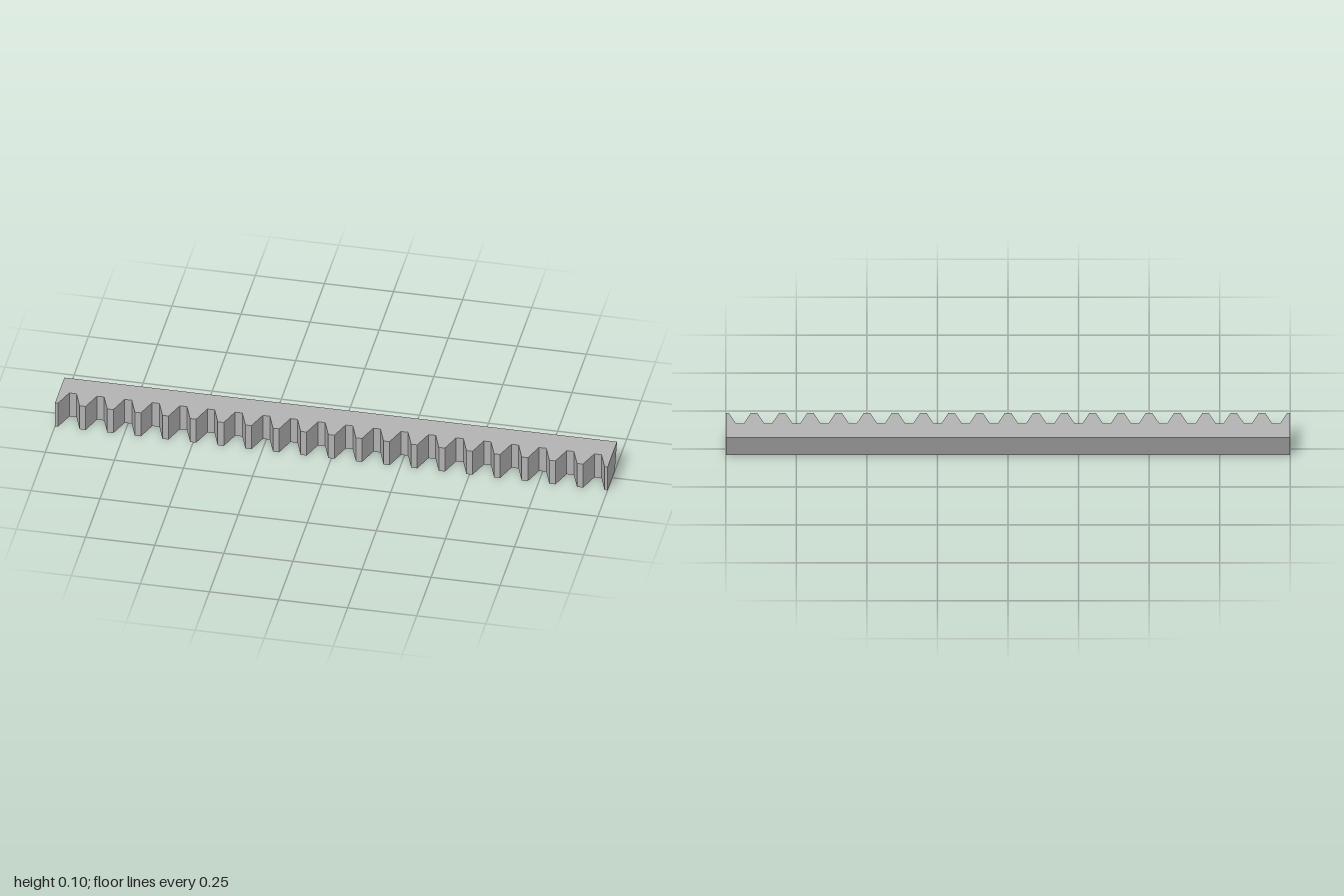
import * as THREE from 'three';

const PITCH = 0.1, TEETH = 20, HEIGHT = 0.1;
const TIP = 0.022, FLANK = 0.026;           // tip width, flank run along x
const FRONT = 0.082, ROOT = 0.01;           // z of tooth tips and tooth roots
const BACK_TOP = -0.082, BACK_BOTTOM = -0.041; // slanted back face

export function createModel() {
  const group = new THREE.Group();
  group.name = 'gearRack';
  const grey = new THREE.MeshStandardMaterial({ color: 0xb2b2b2 });
  grey.name = 'steel grey';

  // Outline from above (shape y = -z): straight back, trapezoid teeth in front,
  // with half a tooth at each end
  const shape = new THREE.Shape();
  shape.moveTo(1, -BACK_TOP);
  shape.lineTo(-1, -BACK_TOP);
  shape.lineTo(-1, -FRONT);
  for (let i = 0; i < TEETH; i++) {
    const a = -1 + i * PITCH + TIP / 2, b = -1 + (i + 1) * PITCH - TIP / 2;
    shape.lineTo(a, -FRONT);
    shape.lineTo(a + FLANK, -ROOT);
    shape.lineTo(b - FLANK, -ROOT);
    shape.lineTo(b, -FRONT);
  }
  shape.lineTo(1, -FRONT);
  shape.closePath();

  const geometry = new THREE.ExtrudeGeometry(shape, { depth: HEIGHT, bevelEnabled: false });
  geometry.rotateX(-Math.PI / 2);

  // Pull the lower back edge forward to slant the back
  const p = geometry.attributes.position;
  for (let i = 0; i < p.count; i++) {
    if (p.getZ(i) < -0.05 && p.getY(i) < HEIGHT / 2) p.setZ(i, BACK_BOTTOM);
  }
  geometry.computeVertexNormals();

  const rack = new THREE.Mesh(geometry, grey);
  rack.name = 'toothedBar';
  group.add(rack);
  return group;
}
